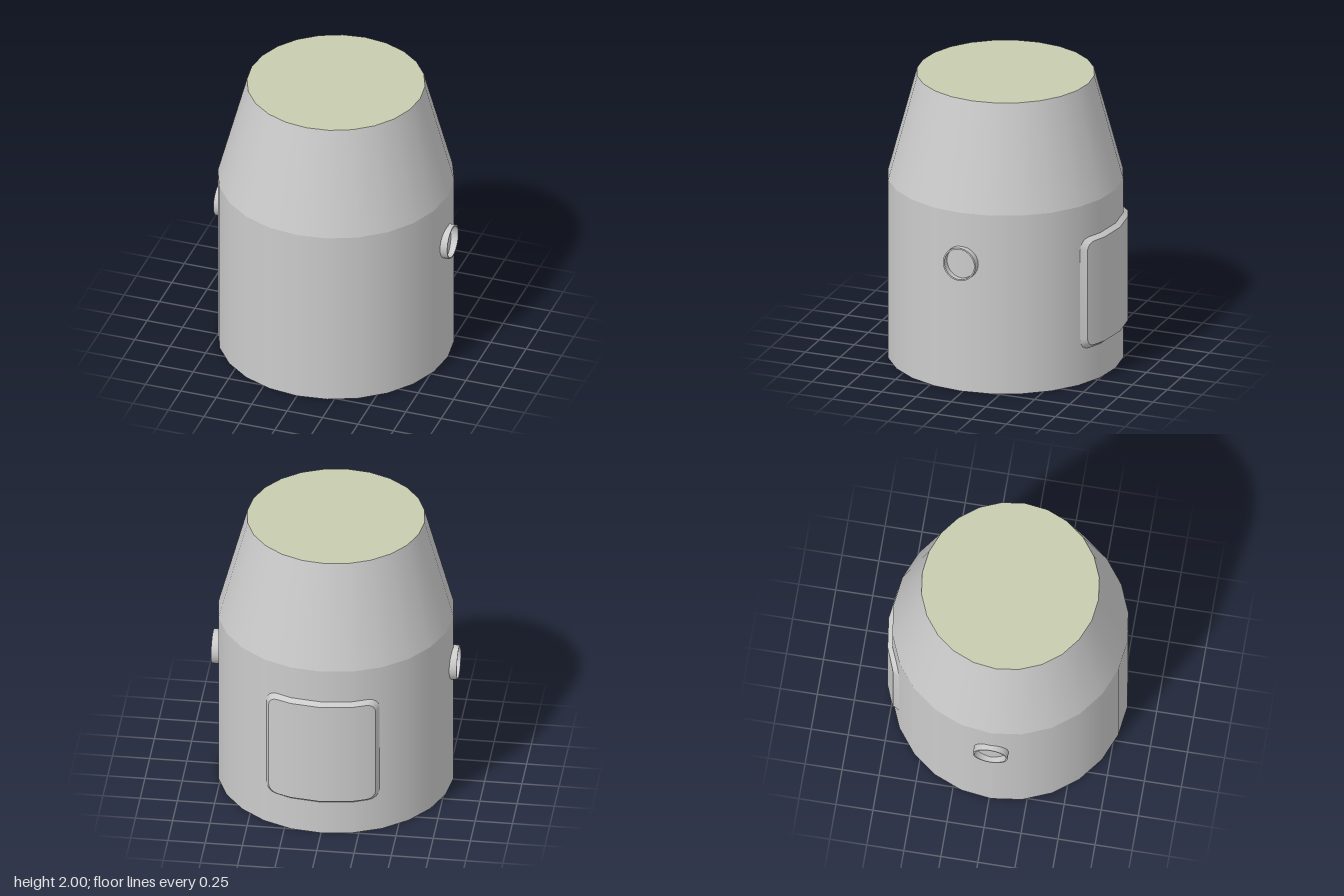
import * as THREE from 'three';
import { toCreasedNormals } from 'three/addons/utils/BufferGeometryUtils.js';

const SIDES = 24, RADIUS = 0.79, TOP_RADIUS = 0.595, SHOULDER = 1.27, HEIGHT = 2, CENTRE_Z = 0.0125;
const STEP = (Math.PI * 2) / SIDES;

const grey = new THREE.MeshStandardMaterial({ color: 0xcccccc });
const olive = new THREE.MeshStandardMaterial({ color: 0xc8cdb0 });

function addMesh(parent, name, geometry, material = grey) {
  const mesh = new THREE.Mesh(geometry, material);
  mesh.name = name;
  parent.add(mesh);
  return mesh;
}

// Depth of the faceted drum of radius r at sideways position x
function facetDepth(x, r) {
  const a = Math.abs(x);
  let i = 0;
  while (a > r * Math.sin(STEP * (i + 1))) i++;
  const x0 = r * Math.sin(STEP * i), x1 = r * Math.sin(STEP * (i + 1));
  const t = (a - x0) / (x1 - x0);
  return r * THREE.MathUtils.lerp(Math.cos(STEP * i), Math.cos(STEP * (i + 1)), t);
}

// Columns [x, half height] of a rounded rectangle, split where the drum facets meet
function roundedColumns(halfW, halfH, corner) {
  const right = [[RADIUS * Math.sin(STEP), halfH]];
  for (let i = 0; i <= 4; i++) {
    const a = (Math.PI / 2) * (1 - i / 4);
    right.push([halfW - corner + corner * Math.cos(a), halfH - corner + corner * Math.sin(a)]);
  }
  const left = right.map(([x, h]) => [-x, h]).reverse();
  return [...left, [0, halfH], ...right];
}

// Wraps columns onto the back of a drum: upper row then lower row
function wrapColumns(columns, r, y) {
  const row = (s) => columns.map(([x, h]) => [x, y + s * h, -facetDepth(x, r)]);
  return { upper: row(1), lower: row(-1) };
}

function fromTriangles(points) {
  const g = new THREE.BufferGeometry();
  g.setAttribute('position', new THREE.Float32BufferAttribute(points.flat(), 3));
  g.computeVertexNormals();
  return g;
}

function createPanel() {
  const panel = new THREE.Group();
  panel.name = 'backPanel';
  const y = 0.6375;
  const base = wrapColumns(roundedColumns(0.383, 0.398, 0.075), RADIUS - 0.004, y);
  const face = wrapColumns(roundedColumns(0.36, 0.37, 0.06), 0.8225, y);
  const quad = (a, b, c, d) => [a, b, c, a, c, d];

  // Curved face, shaded round like the drum
  const facePoints = [];
  for (let i = 0; i < face.upper.length - 1; i++) {
    facePoints.push(...quad(face.upper[i], face.upper[i + 1], face.lower[i + 1], face.lower[i]));
  }
  const faceGeometry = fromTriangles(facePoints);
  const p = faceGeometry.attributes.position, n = faceGeometry.attributes.normal;
  for (let i = 0; i < p.count; i++) {
    const r = Math.hypot(p.getX(i), p.getZ(i));
    n.setXYZ(i, p.getX(i) / r, 0, p.getZ(i) / r);
  }
  addMesh(panel, 'panelFace', faceGeometry);

  // Sloping rim between the drum and the face
  const loop = ({ upper, lower }) => [...upper, ...[...lower].reverse()];
  const outer = loop(base), inner = loop(face), rim = [];
  for (let i = 0; i < outer.length; i++) {
    const j = (i + 1) % outer.length;
    rim.push(...quad(outer[i], outer[j], inner[j], inner[i]));
  }
  addMesh(panel, 'panelRim', toCreasedNormals(fromTriangles(rim), 0.6));
  return panel;
}

export function createModel() {
  const model = new THREE.Group();
  model.name = 'taperedDrum';
  model.position.z = CENTRE_Z;

  // Straight drum and tapered shoulder
  addMesh(model, 'drum', new THREE.CylinderGeometry(RADIUS, RADIUS, SHOULDER, SIDES, 1, true))
    .position.y = SHOULDER / 2;
  addMesh(model, 'taper', new THREE.CylinderGeometry(TOP_RADIUS, RADIUS, HEIGHT - SHOULDER, SIDES, 1, true))
    .position.y = (HEIGHT + SHOULDER) / 2;

  // Flat end caps
  const top = addMesh(model, 'topCap', new THREE.CircleGeometry(TOP_RADIUS, SIDES), olive);
  top.rotation.x = -Math.PI / 2;
  top.position.y = HEIGHT;
  const bottom = addMesh(model, 'bottomCap', new THREE.CircleGeometry(RADIUS, SIDES), olive);
  bottom.rotation.x = Math.PI / 2;

  // Thin collar ring on each side
  const profile = [[0.117, 0.75], [0.117, 0.825], [0.107, 0.825], [0.107, 0.75]];
  const ring = toCreasedNormals(
    new THREE.LatheGeometry(profile.map(([r, h]) => new THREE.Vector2(r, h)), 32), 0.6);
  for (const side of [1, -1]) {
    const collar = addMesh(model, side > 0 ? 'leftCollar' : 'rightCollar', ring);
    collar.rotation.z = -side * Math.PI / 2;
    collar.position.y = 0.915;
  }

  model.add(createPanel());

  const root = new THREE.Group();
  root.name = 'model';
  root.add(model);
  return root;
}
